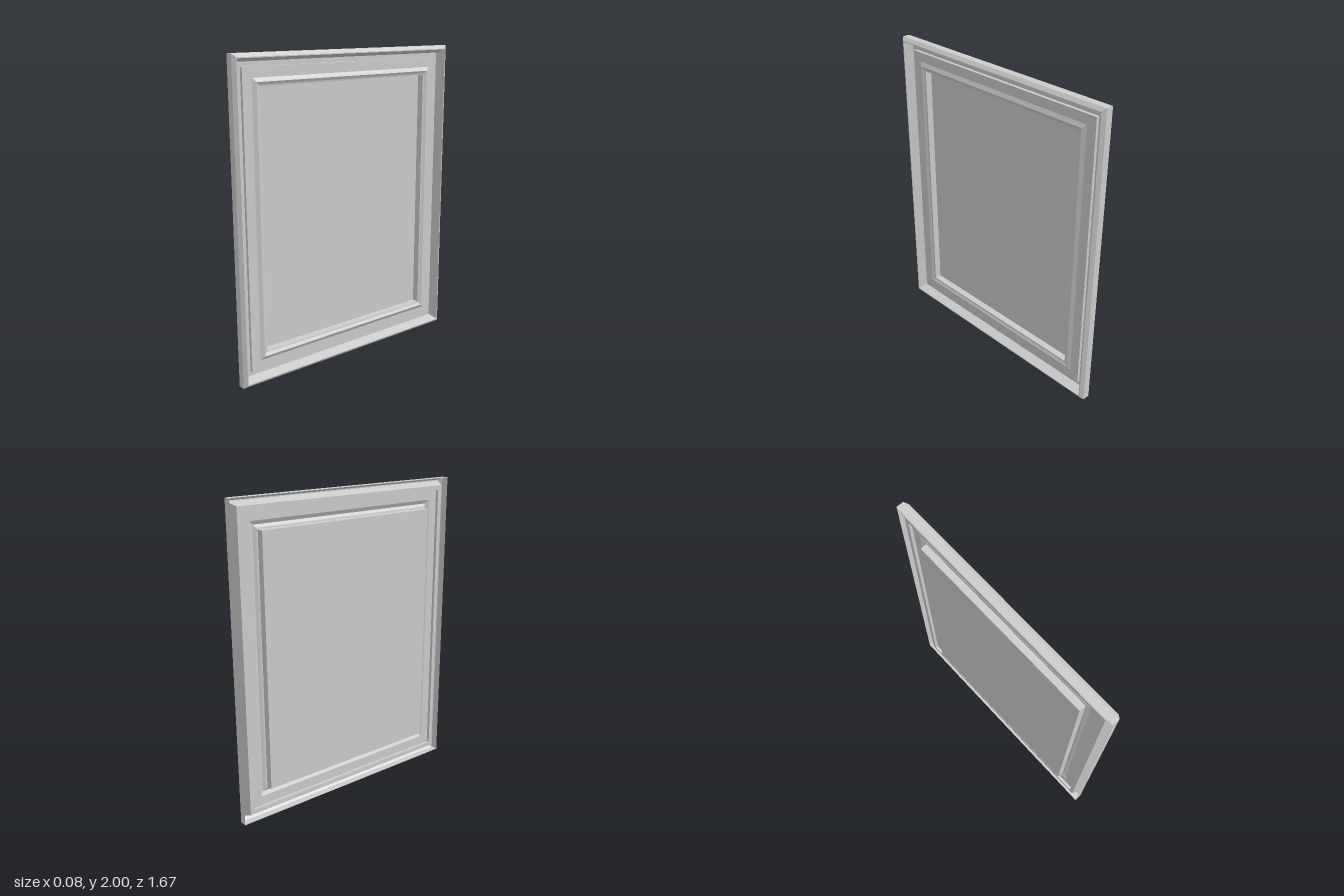
import * as THREE from 'three';

const HALF_W = 0.835, HALF_H = 1;
const material = new THREE.MeshStandardMaterial({ color: 0xcccccc, flatShading: true, side: THREE.DoubleSide });

// Corners of a mitred rectangle inset from the outer edge, at depth x
function ring([inset, x]) {
  const w = HALF_W - inset, h = HALF_H - inset;
  return [[x, HALF_H - h, w], [x, HALF_H - h, -w], [x, HALF_H + h, -w], [x, HALF_H + h, w]];
}

function addMesh(group, name, positions) {
  const geometry = new THREE.BufferGeometry();
  geometry.setAttribute('position', new THREE.Float32BufferAttribute(positions, 3));
  geometry.computeVertexNormals();
  const mesh = new THREE.Mesh(geometry, material);
  mesh.name = name;
  group.add(mesh);
}

// Sweep a thin moulding profile of [inset, x] points round the rectangle
function addMoulding(group, name, profile) {
  const positions = [];
  for (let i = 0; i < profile.length - 1; i++) {
    const outer = ring(profile[i]), inner = ring(profile[i + 1]);
    for (let k = 0; k < 4; k++) {
      const n = (k + 1) % 4;
      positions.push(...outer[k], ...outer[n], ...inner[n], ...outer[k], ...inner[n], ...inner[k]);
    }
  }
  addMesh(group, name, positions);
}

export function createModel() {
  const group = new THREE.Group();
  group.name = 'framedPanel';

  // Outer rim: side wall, chamfer and inward slope, open at the back
  addMoulding(group, 'outerRim', [[0, -0.027], [0, 0.02], [0.02, 0.041], [0.026, 0.041], [0.048, -0.02]]);

  // Groove and raised flat border
  addMoulding(group, 'flatBorder', [[0.048, -0.02], [0.077, -0.02], [0.077, 0], [0.139, 0]]);

  // Small bead and the wall down to the sunken panel
  addMoulding(group, 'innerBead', [[0.139, 0], [0.163, 0.014], [0.18, 0.004], [0.19, 0.002], [0.192, -0.041]]);

  // Sunken panel
  const [a, b, c, d] = ring([0.192, -0.041]);
  addMesh(group, 'panel', [...a, ...b, ...c, ...a, ...c, ...d]);

  return group;
}
